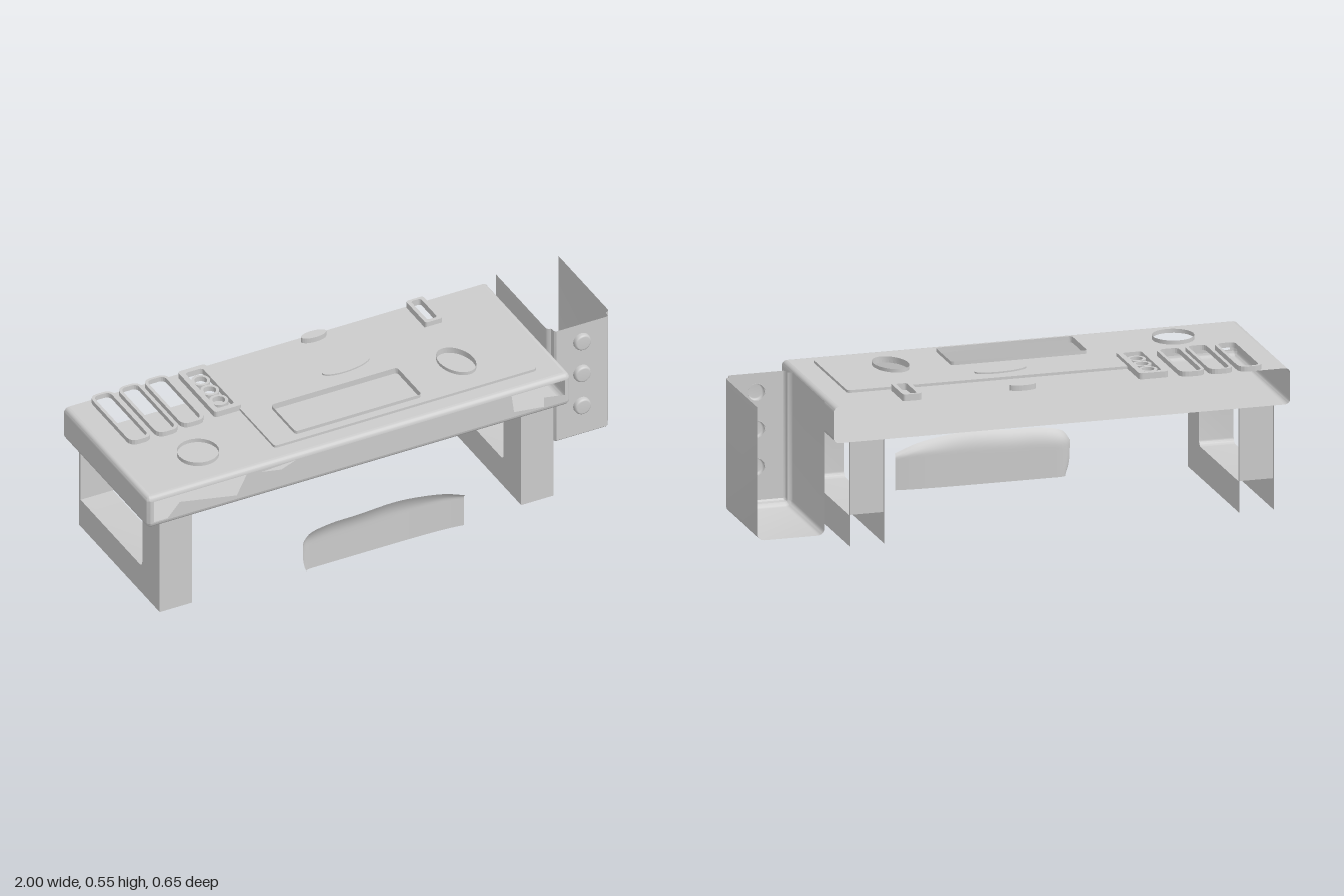
import * as THREE from 'three';
import { toCreasedNormals } from 'three/addons/utils/BufferGeometryUtils.js';

const material = new THREE.MeshStandardMaterial({ color: 0xcccccc, side: THREE.DoubleSide });
const BACK = -0.325, TOP = 0.525, UNDER = 0.39, CUT = 0.548;

function add(parent, name, geometry) {
  const mesh = new THREE.Mesh(geometry, material);
  mesh.name = name;
  parent.add(mesh);
  return mesh;
}

// Sweep a profile of [offset, height] along a path of [u, v, normalU, normalV]
function sweep(path, profile, place) {
  const pos = [], idx = [], n = profile.length;
  for (const [u, v, nu = 0, nv = 0] of path)
    for (const [d, h] of profile) pos.push(...place(u + nu * d, v + nv * d, h));
  for (let i = 0; i < path.length - 1; i++)
    for (let j = 0; j < n - 1; j++) {
      const a = i * n + j, b = a + n;
      idx.push(a, b, a + 1, b, b + 1, a + 1);
    }
  const g = new THREE.BufferGeometry();
  g.setAttribute('position', new THREE.Float32BufferAttribute(pos, 3));
  g.setIndex(idx);
  return toCreasedNormals(g, 0.6);
}

// U-shaped outline with rounded corners, open at one end
function uPath(x0, x1, open, closed, r) {
  const s = Math.sign(closed - open), path = [[x0, open, -1, 0]];
  for (const [cx, from] of [[x0 + r, Math.PI], [x1 - r, Math.PI / 2]])
    for (let i = 0; i <= 6; i++) {
      const a = from - (i / 6) * Math.PI / 2, c = Math.cos(a), k = Math.sin(a) * s;
      path.push([cx + r * c, closed - s * r + r * k, c, k]);
    }
  path.push([x1, open, 1, 0]);
  return path;
}

function roundRect(x0, x1, z0, z1, r) {
  const pts = [];
  [[x1 - r, z1 - r], [x0 + r, z1 - r], [x0 + r, z0 + r], [x1 - r, z0 + r]].forEach(([cx, cz], q) => {
    for (let i = 0; i <= 4; i++) {
      const a = (q + i / 4) * Math.PI / 2;
      pts.push([cx + r * Math.cos(a), cz + r * Math.sin(a)]);
    }
  });
  return pts;
}

function ellipse(cx, cz, rx, rz, turn = 0) {
  return Array.from({ length: 32 }, (_, i) => {
    const a = i / 32 * Math.PI * 2, x = rx * Math.cos(a), z = rz * Math.sin(a);
    return [cx + x * Math.cos(turn) - z * Math.sin(turn), cz + x * Math.sin(turn) + z * Math.cos(turn)];
  });
}

function shapeOf(outline, holes = [], flip = 1) {
  const vec = pts => pts.map(([a, b]) => new THREE.Vector2(a, b * flip));
  const shape = new THREE.Shape(vec(outline));
  shape.holes = holes.map(h => new THREE.Path(vec(h)));
  return shape;
}

// Flat sheet or plate lying in the xz plane
const sheet = (outline, holes, y) =>
  new THREE.ShapeGeometry(shapeOf(outline, holes, -1)).rotateX(-Math.PI / 2).translate(0, y, 0);
const plate = (outline, holes, y0, y1) =>
  new THREE.ExtrudeGeometry(shapeOf(outline, holes, -1), { depth: y1 - y0, bevelEnabled: false })
    .rotateX(-Math.PI / 2).translate(0, y0, 0);
const wall = (outline, y0, y1) =>
  sweep([...outline, outline[0]], [[0, y0], [0, y1]], (x, z, y) => [x, y, z]);
const rect = (x0, x1, z0, z1) => [[x0, z0], [x1, z0], [x1, z1], [x0, z1]];

function createShelf() {
  const g = new THREE.Group(), r = 0.02, x0 = -1, x1 = 0.71, front = 0.322;
  g.name = 'shelf';
  const cup = ellipse(-0.71, 0.155, 0.076, 0.076);
  const panel = roundRect(-0.35, 0.16, 0.03, 0.22, 0.012);
  const pebble = ellipse(0.37, 0.085, 0.06, 0.088, -0.2);
  const slots = [[-0.9, -0.81, 0], [-0.79, -0.7, 0], [-0.685, -0.59, -0.01]]
    .map(([a, b, z]) => [roundRect(a, b, -0.325, z, 0.03), roundRect(a + 0.012, b - 0.012, -0.315, z - 0.012, 0.02)]);
  const tray = [roundRect(-0.55, -0.44, -0.31, -0.02, 0.012), roundRect(-0.53, -0.46, -0.29, -0.04, 0.012)];
  const clip = [roundRect(0.38, 0.45, -0.325, -0.17, 0.01), roundRect(0.395, 0.435, -0.315, -0.185, 0.01)];

  // Hollow body, open at the back
  add(g, 'shelfTop', sheet(rect(x0 + r, x1 - r, BACK, front - r),
    [cup, panel, pebble, tray[1], clip[1], ...slots.map(s => s[1])], TOP));
  add(g, 'shelfUnderside', sheet(rect(x0 + r, x1 - r, BACK, front - r), [], UNDER));
  const path = uPath(x0, x1, BACK, front, r), lay = (x, z, y) => [x, y, z];
  const arc = s => Array.from({ length: 6 }, (_, i) => {
    const a = i / 5 * Math.PI / 2;
    return [r * (Math.cos(a) - 1), (s > 0 ? TOP - r : UNDER + r) + s * r * Math.sin(a)];
  });
  add(g, 'shelfTopEdge', sweep(path, arc(1), lay));
  add(g, 'shelfBottomEdge', sweep(path, arc(-1), lay));
  const sides = [[0, UNDER + r], [0, TOP - r]];
  add(g, 'shelfSide', sweep(path.slice(0, 8), sides, lay));
  add(g, 'shelfSide', sweep(path.slice(8), sides, lay));

  // Front wall with ragged openings
  const openings = [
    [[-0.975, 0.503], [-0.6, 0.503], [-0.64, 0.425], [-0.87, 0.47], [-0.92, 0.415], [-0.975, 0.415]],
    [[-0.54, 0.495], [-0.4, 0.503], [-0.46, 0.48]],
    [[0.47, 0.503], [0.685, 0.503], [0.685, 0.44], [0.6, 0.455], [0.6, 0.415], [0.48, 0.43]],
  ];
  add(g, 'shelfFront', new THREE.ShapeGeometry(
    shapeOf(rect(x0 + r, x1 - r, UNDER + r, TOP - r), openings)).translate(0, 0, front));

  // Desk mat and low rims standing on the top
  add(g, 'mat', plate(roundRect(-0.45, 0.61, -0.165, 0.25, 0.012), [panel, pebble], TOP, 0.535));
  add(g, 'cupRim', wall(cup, TOP, CUT - 0.008));
  add(g, 'panelRim', wall(panel, TOP, CUT));
  add(g, 'pebbleRim', wall(pebble, TOP, CUT));
  add(g, 'matInlay', plate(ellipse(0.01, -0.08, 0.1, 0.035, -0.1), [], 0.53, 0.541));
  add(g, 'backButton', plate(ellipse(-0.005, -0.3, 0.05, 0.021), [], TOP, 0.545));
  for (const s of slots) add(g, 'slotFrame', plate(s[0], [s[1]], TOP, CUT - 0.004));
  add(g, 'trayFrame', plate(tray[0], [tray[1]], TOP, CUT));
  for (const z of [-0.235, -0.165, -0.095])
    add(g, 'trayRing', plate(ellipse(-0.495, z, 0.034, 0.034), [ellipse(-0.495, z, 0.023, 0.023)], 0.52, 0.54));
  add(g, 'clipFrame', plate(clip[0], [clip[1]], TOP, 0.55));
  return g;
}

// Hollow frame leg with a window, open below and behind
function createLeg(x0, x1) {
  const g = new THREE.Group();
  g.name = 'leg';
  const front = 0.3, zPost = 0.165, zBack = -0.312, yBar = 0.115, r = 0.02;
  const windowPath = [[zPost, UNDER]];
  for (let i = 0; i <= 5; i++) {
    const a = i / 5 * Math.PI / 2;
    windowPath.push([zPost - r + r * Math.cos(a), yBar + r - r * Math.sin(a)]);
  }
  windowPath.push([zBack, yBar], [zBack, UNDER]);
  const side = shapeOf([[BACK, 0], [front, 0], [front, UNDER], ...windowPath, [BACK, UNDER]]);
  for (const x of [x0, x1])
    add(g, 'legSide', new THREE.ShapeGeometry(side).rotateY(-Math.PI / 2).translate(x, 0, 0));
  const across = [[0, x0], [0, x1]], put = (z, y, x) => [x, y, z];
  add(g, 'legFront', sweep([[front, 0], [front, UNDER]], across, put));
  add(g, 'legWindow', sweep(windowPath, across, put));
  return g;
}

// Tall box with knobs, open at the top and back
function createKnobBox() {
  const g = new THREE.Group(), x0 = 0.745, x1 = 0.997, y0 = 0.052, top = 0.55, knobs = [0.478, 0.34, 0.2];
  g.name = 'knobBox';
  const profile = [[0, BACK], [0, 0.058], [-0.004, 0.065], [-0.016, 0.071], [-0.018, 0.089], [-0.024, 0.095]];
  add(g, 'boxShell', sweep(uPath(x0, x1, top, y0, 0.026), profile, (x, y, z) => [x, y, z]));
  const i = 0.024;
  add(g, 'boxFront', new THREE.ShapeGeometry(shapeOf(rect(x0 + i, x1 - i, y0 + i, top),
    knobs.map(y => ellipse(0.87, y, 0.031, 0.031)))).translate(0, 0, 0.095));
  const outline = [[0.033, 0], [0.033, 0.012], [0.03, 0.018], [0.025, 0.02], [0, 0.02]];
  for (const y of knobs)
    add(g, 'knob', new THREE.LatheGeometry(outline.map(p => new THREE.Vector2(...p)), 32)
      .rotateX(Math.PI / 2).translate(0.87, y, 0.094));
  return g;
}

// Thin curved sheet that curls forward at its top and ends
function createCurvedRest() {
  const geo = new THREE.PlaneGeometry(1, 1, 48, 16), p = geo.attributes.position;
  const crest = new THREE.CatmullRomCurve3([[-0.375, 0.13], [-0.35, 0.165], [-0.27, 0.184], [-0.15, 0.188],
    [0, 0.195], [0.1, 0.185], [0.2, 0.165], [0.28, 0.135]].map(([x, y]) => new THREE.Vector3(x, y, 0)));
  for (let i = 0; i < p.count; i++) {
    const u = p.getX(i) + 0.5, v = p.getY(i) + 0.5, c = crest.getPointAt(u);
    const end = Math.max(0, 1 - u / 0.1) ** 2, lip = Math.max(0, (v - 0.65) / 0.35) ** 2;
    const tuck = 0.02 * end * (1 - v) ** 4;
    p.setXYZ(i, c.x + tuck, c.y * v, 0.304 + 0.021 * Math.max(end, lip, 0.6 * u ** 8));
  }
  geo.computeVertexNormals();
  const g = new THREE.Group();
  g.name = 'curvedRest';
  add(g, 'restSheet', geo);
  return g;
}

export function createModel() {
  const model = new THREE.Group();
  model.name = 'deskShelf';
  model.add(createShelf(), createLeg(-0.94, -0.81), createLeg(0.52, 0.65), createKnobBox(), createCurvedRest());
  return model;
}
